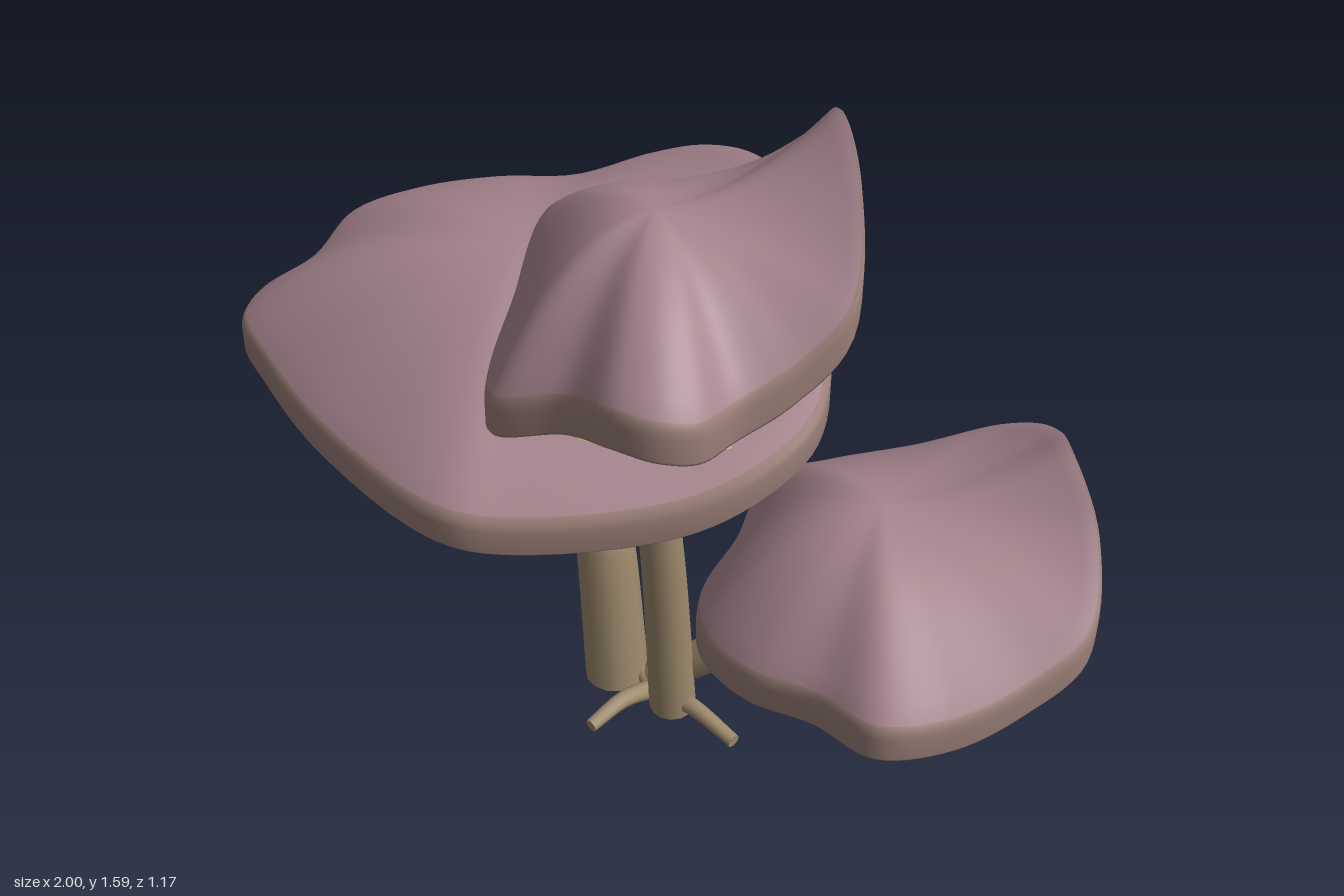
import * as THREE from 'three';
import { mergeGeometries } from 'three/addons/utils/BufferGeometryUtils.js';

const paint = (name, color) => {
  const m = new THREE.MeshStandardMaterial({ color });
  m.name = name;
  return m;
};
const V = (p) => new THREE.Vector3(...p);

// Tapered tube through points, closed with a disc at both ends
function limb(points, r0, r1, sides = 14, steps = 24) {
  const curve = new THREE.CatmullRomCurve3(points.map(V), false, 'centripetal');
  const tube = new THREE.TubeGeometry(curve, steps, 1, sides);
  const pos = tube.attributes.position;
  const v = new THREE.Vector3();
  for (let i = 0; i <= steps; i++) {
    const c = curve.getPointAt(i / steps);
    const r = r0 + (r1 - r0) * i / steps;
    for (let j = 0; j <= sides; j++) {
      const k = i * (sides + 1) + j;
      v.fromBufferAttribute(pos, k).sub(c).multiplyScalar(r).add(c);
      pos.setXYZ(k, v.x, v.y, v.z);
    }
  }
  const ends = [[0, r0, -1], [1, r1, 1]].map(([u, r, s]) => {
    const disc = new THREE.CircleGeometry(r, sides);
    const q = new THREE.Quaternion().setFromUnitVectors(
      new THREE.Vector3(0, 0, 1), curve.getTangentAt(u).multiplyScalar(s));
    const c = curve.getPointAt(u);
    return disc.applyQuaternion(q).translate(c.x, c.y, c.z);
  });
  return mergeGeometries([tube, ...ends]);
}

// Point on a cap: t runs from centre to rim, drop is the distance below the top skin
const capPoint = (apex, edge, t, drop) => [
  apex[0] + (edge.x - apex[0]) * t,
  apex[1] + (edge.y - apex[1]) * t * t - drop,
  apex[2] + (edge.z - apex[2]) * t,
];

// Cap skin: rings over the top, around the lip and back underneath
function capGeometry(apex, curve) {
  const n = 112, rows = [];
  for (let i = 0; i <= 14; i++) rows.push([0.98 * i / 14, 0]);
  const topEnd = rows.length - 1;
  rows.push([0.995, 0.008], [1, 0.022], [1, 0.07], [0.99, 0.082], [0.97, 0.085]);
  const lipEnd = rows.length - 1;
  for (let i = 11; i >= 0; i--) rows.push([0.95 * i / 11, 0.08]);
  const position = [], index = [];
  for (const [t, drop] of rows)
    for (let j = 0; j < n; j++) position.push(...capPoint(apex, curve.getPoint(j / n), t, drop));
  for (let i = 0; i < rows.length - 1; i++)
    for (let j = 0; j < n; j++) {
      const a = i * n + j, b = i * n + (j + 1) % n;
      index.push(a, b + n, a + n, a, b, b + n);
    }
  const g = new THREE.BufferGeometry();
  g.setAttribute('position', new THREE.Float32BufferAttribute(position, 3));
  g.setIndex(index);
  g.computeVertexNormals();
  const ends = [0, topEnd, lipEnd, rows.length - 1].map((r) => r * n * 6);
  for (let k = 0; k < 3; k++) g.addGroup(ends[k], ends[k + 1] - ends[k], k);
  return g;
}

export function createModel() {
  const model = new THREE.Group();
  model.name = 'mushroomCluster';
  const mauve = paint('capMauve', 0xa8868f);
  const lip = paint('lipBrown', 0x9c8079);
  const cream = paint('undersideCream', 0xb5a583);
  const gillTan = paint('gillTan', 0xbcab87);
  const stemTan = paint('stemTan', 0xa08c6e);
  const add = (parent, name, geometry, material) => {
    const mesh = new THREE.Mesh(geometry, material);
    mesh.name = name;
    parent.add(mesh);
  };

  // Cap with gills; rim points are [x, z, height of upper edge]
  const addCap = (name, apex, gills, rim) => {
    const group = new THREE.Group();
    group.name = name;
    const curve = new THREE.CatmullRomCurve3(
      rim.map(([x, z, y]) => new THREE.Vector3(x, y, z)), true, 'centripetal');
    add(group, name + 'Skin', capGeometry(apex, curve), [mauve, lip, cream]);
    const rods = [];
    for (let i = 0; i < gills; i++) {
      const edge = curve.getPointAt((i + 0.5) / gills);
      const reach = 0.87 + 0.04 * Math.sin(i * 2.4);
      const path = [0.14, 0.4, 0.7, 1].map((s) =>
        capPoint(apex, edge, s * reach, 0.085 + 0.06 * s * s));
      rods.push(limb(path, 0.01, 0.017, 8, 8));
    }
    add(group, name + 'Gills', mergeGeometries(rods), gillTan);
    model.add(group);
  };
  addCap('largeCap', [-0.32, 1.1, 0.04], 22, [
    [-1, -0.02, 0.91], [-0.96, -0.21, 0.92], [-0.825, -0.335, 0.95], [-0.585, -0.39, 1.02],
    [-0.425, -0.48, 1.1], [-0.28, -0.51, 1.16], [-0.08, -0.47, 1.21], [0.09, -0.36, 1.2],
    [0.375, -0.155, 1.07], [0.475, 0, 1.0], [0.46, 0.13, 0.94], [0.38, 0.27, 0.88],
    [0.135, 0.5, 0.83], [0, 0.575, 0.83], [-0.4, 0.545, 0.82], [-0.72, 0.46, 0.82],
    [-0.9, 0.39, 0.83], [-0.945, 0.3, 0.845], [-0.935, 0.16, 0.875]]);
  addCap('upperCap', [0.21, 1.42, 0.18], 20, [
    [-0.15, 0.12, 1.27], [-0.09, -0.01, 1.29], [0.03, -0.08, 1.32], [0.17, -0.16, 1.39],
    [0.3, -0.16, 1.5], [0.415, -0.09, 1.6], [0.52, -0.02, 1.52], [0.61, 0.095, 1.34],
    [0.57, 0.2, 1.24], [0.525, 0.3, 1.19], [0.525, 0.4, 1.19], [0.48, 0.46, 1.2],
    [0.39, 0.485, 1.2], [0.245, 0.46, 1.15], [0.085, 0.495, 1.09], [-0.01, 0.42, 1.08],
    [-0.08, 0.29, 1.15]]);
  addCap('sideCap', [0.5, 0.7, -0.2], 20, [
    [0.1, -0.31, 0.51], [0.19, -0.41, 0.55], [0.375, -0.5, 0.64], [0.535, -0.585, 0.73],
    [0.68, -0.55, 0.81], [0.785, -0.455, 0.84], [0.91, -0.375, 0.74], [0.995, -0.24, 0.61],
    [0.95, -0.11, 0.53], [0.88, 0.025, 0.48], [0.775, 0.145, 0.47], [0.615, 0.14, 0.455],
    [0.45, 0.16, 0.43], [0.28, 0.11, 0.41], [0.18, 0, 0.405], [0.145, -0.15, 0.44]]);

  // Stems
  add(model, 'largeStem', limb([[-0.07, 0.02, 0.012], [-0.092, 0.4, 0.025], [-0.1, 0.44, 0.027],
    [-0.125, 0.48, 0.03], [-0.31, 0.76, 0.04], [-0.35, 1.0, 0.04]], 0.076, 0.056), stemTan);
  add(model, 'upperStem', limb([[0.1, 0.02, 0], [0.125, 0.5, 0.065], [0.14, 0.86, 0.13],
    [0.15, 1.05, 0.185], [0.18, 1.36, 0.23]], 0.055, 0.036), stemTan);
  add(model, 'sideStem', limb([[0.03, 0.05, -0.02], [0.17, 0.175, -0.07], [0.32, 0.32, -0.13],
    [0.46, 0.64, -0.19]], 0.042, 0.046), stemTan);

  // Roots spreading from the foot
  const roots = [[0.3, 0.01], [0.03, 0.2], [-0.09, -0.03], [0.05, -0.205]].map(([x, z]) =>
    limb([[0.04, 0.025, 0], [0.02 + x * 0.5, 0.05, z * 0.5], [x, 0.033, z]], 0.024, 0.016, 10, 10));
  add(model, 'roots', mergeGeometries(roots), stemTan);
  return model;
}
